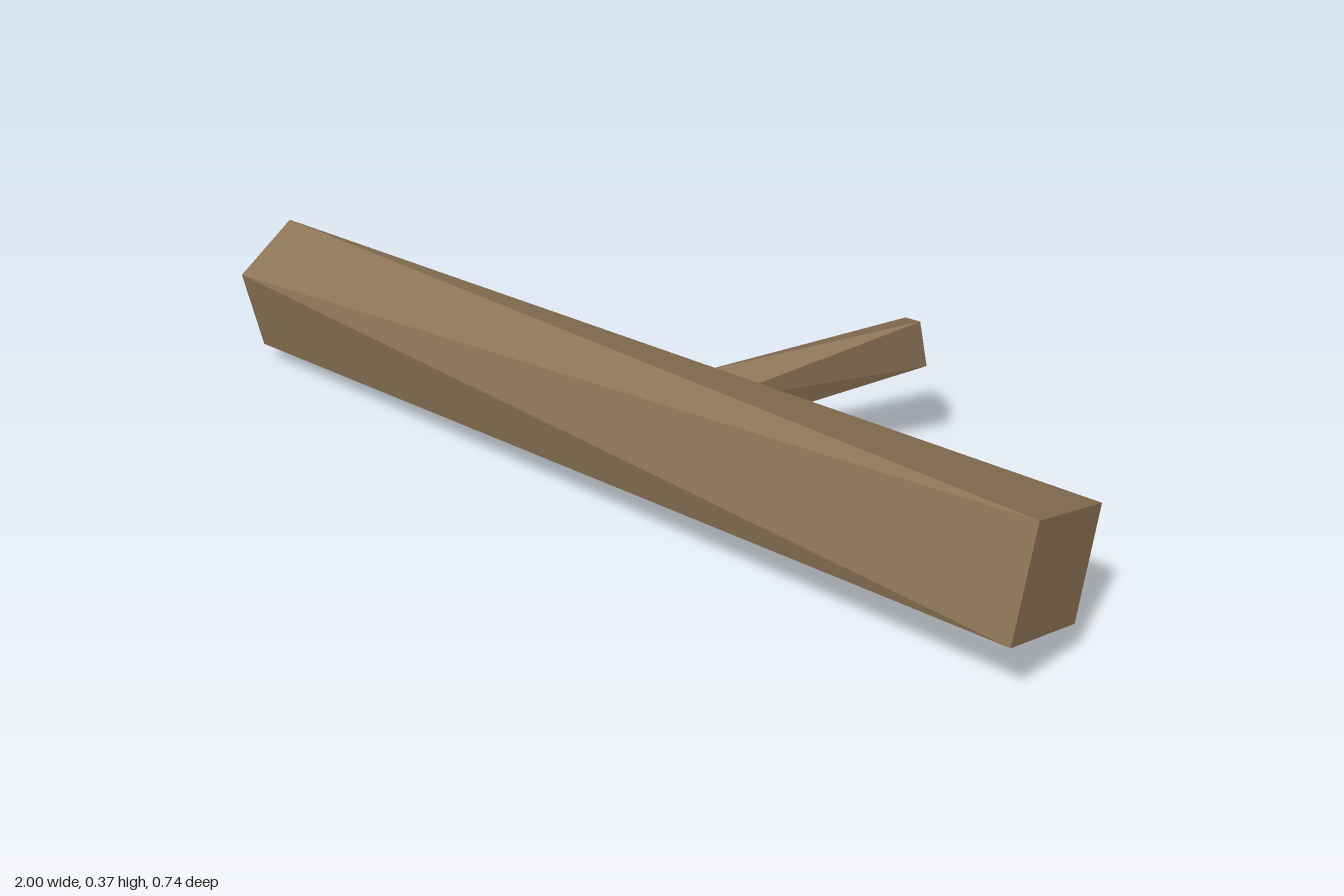
import * as THREE from 'three';
import { ConvexGeometry } from 'three/addons/geometries/ConvexGeometry.js';

// Ring of points (a regular polygon) around a centre, spanned by two directions
function ring(center, right, up, radius, degrees) {
  return degrees.map((d) => {
    const a = THREE.MathUtils.degToRad(d);
    return center.clone()
      .addScaledVector(right, radius * Math.cos(a))
      .addScaledVector(up, radius * Math.sin(a));
  });
}

export function createModel() {
  const group = new THREE.Group();
  const bark = new THREE.MeshStandardMaterial({ color: 0x8b7355, flatShading: true });
  const v = (x, y, z) => new THREE.Vector3(x, y, z);

  const addPart = (name, points) => {
    const mesh = new THREE.Mesh(new ConvexGeometry(points), bark);
    mesh.name = name;
    group.add(mesh);
  };

  // Log: a five-sided end blending into a four-sided end
  addPart('log', [
    v(-0.994, 0.31, 0.22), v(-0.98, 0.23, 0.37), v(-0.976, 0.045, 0.335),
    v(-0.986, 0, 0.177), v(-1, 0.187, 0.07),
    v(0.988, 0.37, 0.16), v(0.975, 0.3, -0.057),
    v(0.988, 0.082, 0.01), v(1, 0.152, 0.229),
  ]);

  // Branch stub: a four-sided root inside the log, a three-sided tip
  const root = v(0.123, 0.21, 0.06);
  const axis = v(0.193, 0.073, -0.338).normalize();
  const right = axis.clone().cross(v(0, 1, 0)).normalize();
  const up = right.clone().cross(axis);
  addPart('branch', [
    ...ring(root, right, up, 0.062, [120, 30, -60, -150]),
    v(0.375, 0.346, -0.31), v(0.38, 0.237, -0.335), v(0.295, 0.305, -0.368),
  ]);

  return group;
}
